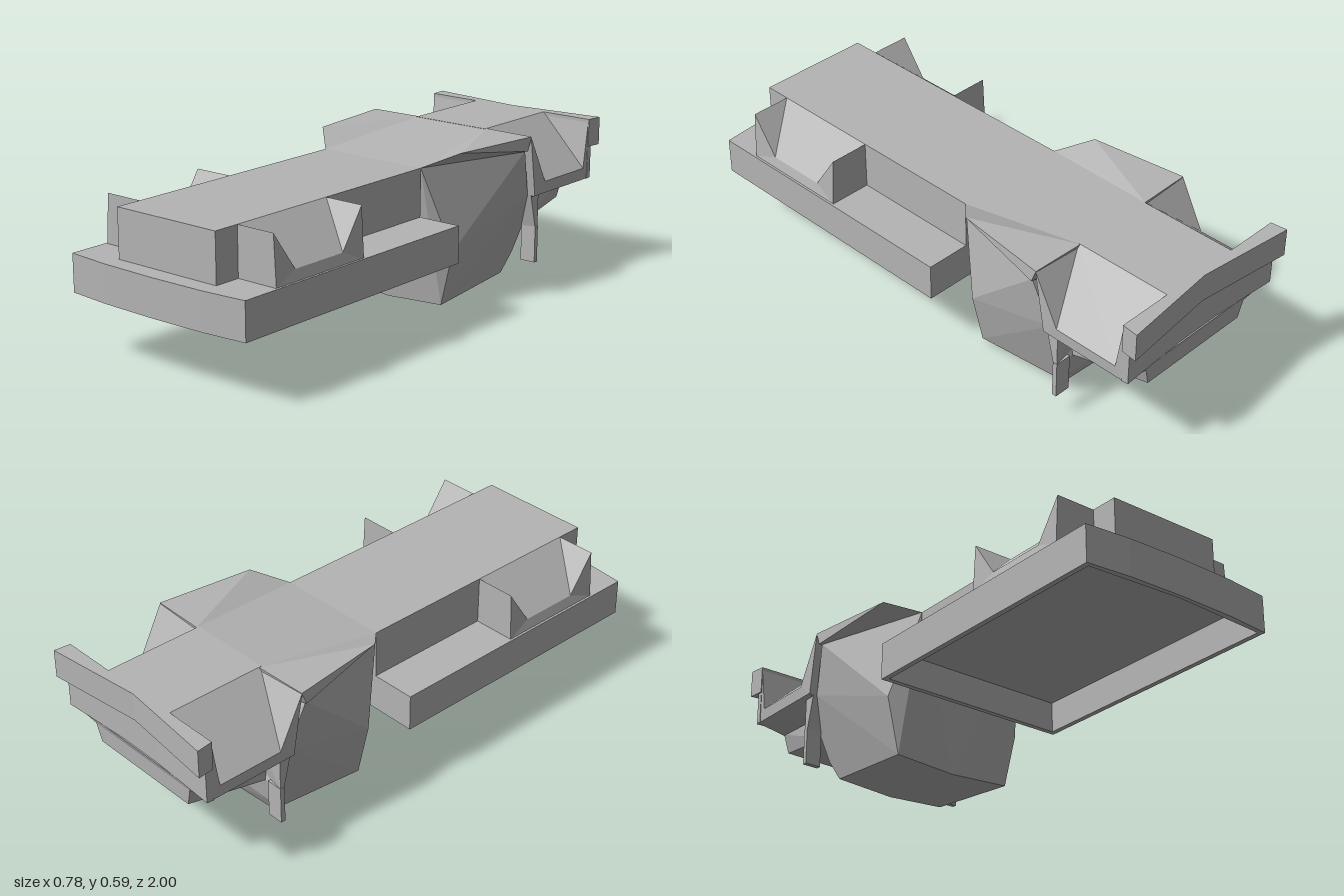
import * as THREE from 'three';
import { ConvexGeometry } from 'three/addons/geometries/ConvexGeometry.js';

export function createModel() {
  const group = new THREE.Group();
  const grey = new THREE.MeshStandardMaterial({ color: 0xb4b4b4, flatShading: true });
  grey.name = 'plain grey';

  const add = (name, geometry) => {
    const mesh = new THREE.Mesh(geometry, grey);
    mesh.name = name;
    group.add(mesh);
  };
  const v = (p) => new THREE.Vector3(...p);
  const flip = (pts) => pts.map(([x, y, z]) => [-x, y, z]);
  // Faceted convex solid
  const solid = (name, pts) => add(name, new ConvexGeometry(pts.map(v)));
  // Solid symmetric about x = 0
  const centred = (name, pts) => solid(name, [...pts, ...flip(pts.filter((p) => p[0] !== 0))]);
  // One solid on each side
  const pair = (name, pts) => {
    solid(name + 'Left', pts);
    solid(name + 'Right', flip(pts));
  };
  // Plan outline in x and z, extruded between two heights
  const slab = (name, outline, y0, y1, hole) => {
    const shape = new THREE.Shape(outline.map((p) => new THREE.Vector2(...p)));
    if (hole) shape.holes.push(new THREE.Path(hole.map((p) => new THREE.Vector2(...p))));
    const g = new THREE.ExtrudeGeometry(shape, { depth: y1 - y0, bevelEnabled: false });
    g.rotateX(Math.PI / 2);
    g.translate(0, y1, 0);
    add(name, g);
  };
  // Side block with a sloping notch that opens outward
  const notched = (name, { xi, xo, xb, top, low, base, ends, cut, foot }) => {
    pair(name + 'Core', [
      ...ends.map((z) => [xi, top, z]),
      ...cut.map((z) => [xo, low, z]),
      ...foot.flatMap((z) => [[xi, base, z], [xb, base, z]]),
    ]);
    ends.forEach((z, i) => pair(name + (i ? 'Rear' : 'Front') + 'Horn', [
      [xi, top, z], [xo, top, z], [xo, low, cut[i]],
      [xi, base, foot[i]], [xb, base, foot[i]],
    ]));
  };

  // Front deck: open-bottomed frame, floor and raised bonnet
  const deck = [[-0.39, -0.1], [0.39, -0.1], [0.39, 0.98], [0.22, 0.995], [0, 1], [-0.22, 0.995], [-0.39, 0.98]];
  const inner = [[-0.37, -0.08], [-0.37, 0.965], [0, 0.985], [0.37, 0.965], [0.37, -0.08]];
  slab('deckFrame', deck, 0.225, 0.34, inner);
  slab('deckFloor', deck, 0.34, 0.362);
  slab('bonnet', [[-0.22, -0.1], [0.22, -0.1], [0.22, 0.93], [-0.22, 0.93]], 0.36, 0.54);
  notched('frontFender', {
    xi: 0.22, xo: 0.372, xb: 0.382, top: 0.54, low: 0.4, base: 0.36,
    ends: [0.83, 0.405], cut: [0.73, 0.5], foot: [0.83, 0.405],
  });

  // Rear hull
  centred('hull', [
    [0.22, 0.54, -0.1], [0.355, 0.54, -0.54], [0.33, 0.36, -0.6],
    [0.29, 0.225, -0.2], [0.28, 0.22, -0.64], [0.25, 0.12, -0.62],
    [0.24, 0.015, -0.2], [0, 0, -0.2], [0.23, 0.045, -0.58], [0, 0.03, -0.58],
  ]);

  // Hull roof: sloping centre with a raised wing on each side
  centred('roofCentre', [
    [0.22, 0.54, -0.1], [0.16, 0.59, -0.57], [0.22, 0.5, -0.12], [0.16, 0.5, -0.57],
  ]);
  pair('roofWing', [
    [0.22, 0.54, -0.1], [0.16, 0.59, -0.57], [0.32, 0.59, -0.2],
    [0.365, 0.59, -0.565], [0.365, 0.54, -0.545], [0.16, 0.5, -0.56],
  ]);

  // Rear tray
  centred('trayCentre', [
    [0.16, 0.59, -0.56], [0.16, 0.59, -0.95], [0.16, 0.36, -0.6], [0.16, 0.36, -0.95],
  ]);
  notched('rearFender', {
    xi: 0.16, xo: 0.365, xb: 0.362, top: 0.59, low: 0.405, base: 0.36,
    ends: [-0.563, -0.94], cut: [-0.66, -0.912], foot: [-0.6, -0.945],
  });
  centred('trayChamfer', [
    [0.362, 0.36, -0.6], [0.358, 0.36, -0.955], [0, 0.36, -0.935],
    [0.26, 0.32, -0.64], [0.25, 0.335, -0.945],
  ]);
  centred('trayKeel', [
    [0.26, 0.33, -0.63], [0.26, 0.22, -0.64], [0.25, 0.34, -0.945],
    [0.23, 0.265, -0.94], [0, 0.21, -0.64], [0, 0.255, -0.93],
  ]);

  // Back wall and overhanging lip, both swept back at the corners
  slab('backWall', [[-0.365, -0.94], [-0.362, -0.965], [0, -0.945], [0.362, -0.965], [0.365, -0.94]], 0.36, 0.5);
  slab('backLip', [[-0.368, -0.938], [-0.375, -1], [0, -0.96], [0.375, -1], [0.368, -0.938]], 0.485, 0.59);

  // Small pegs hanging behind the hull
  for (const s of [1, -1]) {
    const peg = new THREE.BoxGeometry(0.062, 0.14, 0.018);
    peg.translate(s * 0.315, 0.165, -0.64);
    add(s > 0 ? 'pegLeft' : 'pegRight', peg);
  }
  // Brackets joining the pegs to the hull
  pair('pegBracket', [
    [0.25, 0.36, -0.6], [0.345, 0.36, -0.6], [0.25, 0.23, -0.63],
    [0.345, 0.23, -0.632], [0.345, 0.23, -0.648], [0.25, 0.36, -0.648], [0.345, 0.36, -0.648],
  ]);

  return group;
}
